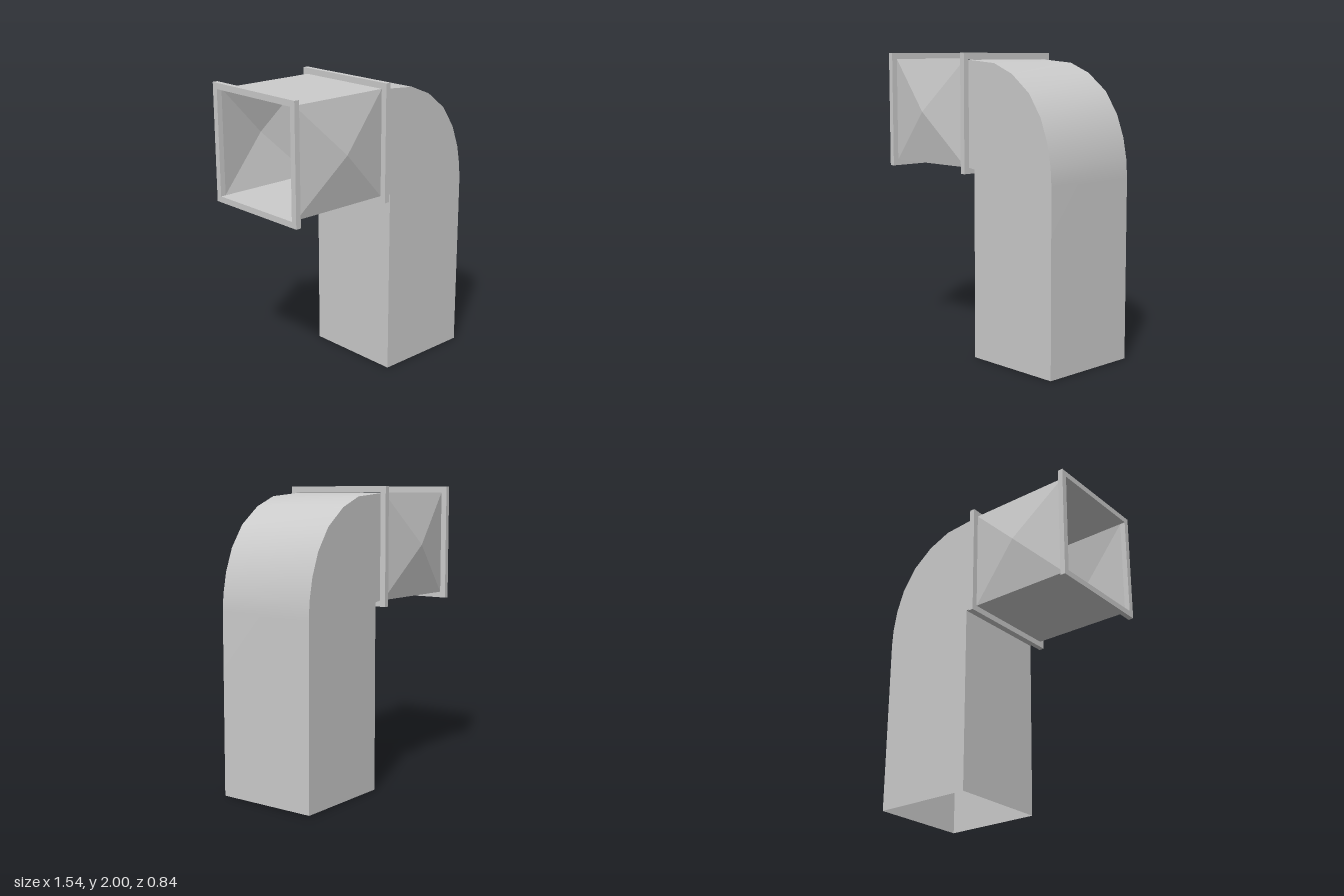
import * as THREE from 'three';

const HALF = 0.35; // half width of the duct
const MID_Y = 1.61; // height of the horizontal duct axis

const smooth = new THREE.MeshStandardMaterial({ color: 0xcccccc, side: THREE.DoubleSide });
const flat = new THREE.MeshStandardMaterial({ color: 0xcccccc, side: THREE.DoubleSide, flatShading: true });

function addMesh(parent, name, geometry, material) {
  const mesh = new THREE.Mesh(geometry, material);
  mesh.name = name;
  parent.add(mesh);
  return mesh;
}

// Sheet that sweeps an xy path across the duct width
function sheet(path) {
  const pos = [], index = [];
  path.forEach(([x, y], i) => {
    pos.push(x, y, HALF, x, y, -HALF);
    if (i < path.length - 1) {
      const a = i * 2;
      index.push(a, a + 2, a + 1, a + 1, a + 2, a + 3);
    }
  });
  const g = new THREE.BufferGeometry();
  g.setAttribute('position', new THREE.Float32BufferAttribute(pos, 3));
  g.setIndex(index);
  g.computeVertexNormals();
  return g;
}

// Shallow four-sided pyramid panel, apex pointing to +z
function pyramidPanel(width, height, depth) {
  const w = width / 2, h = height / 2;
  const g = new THREE.BufferGeometry();
  g.setAttribute('position', new THREE.Float32BufferAttribute(
    [-w, -h, 0, w, -h, 0, w, h, 0, -w, h, 0, 0, 0, depth], 3));
  g.setIndex([0, 1, 4, 1, 2, 4, 2, 3, 4, 3, 0, 4]);
  g.computeVertexNormals();
  return g;
}

function square(Type, half) {
  return new Type([[-half, -half], [half, -half], [half, half], [-half, half]]
    .map(([x, y]) => new THREE.Vector2(x, y)));
}

// Square frame around the duct, centred at x
function flange(parent, name, x) {
  const thickness = 0.036;
  const shape = square(THREE.Shape, 0.39);
  shape.holes.push(square(THREE.Path, HALF));
  const g = new THREE.ExtrudeGeometry(shape, { depth: thickness, bevelEnabled: false });
  g.translate(0, 0, -thickness / 2).rotateY(Math.PI / 2);
  addMesh(parent, name, g, flat).position.set(x, MID_Y, 0);
}

export function createModel() {
  const model = new THREE.Group();
  model.name = 'ductElbow';

  // Straight section, open at both ends
  const straight = new THREE.Group();
  straight.name = 'straightDuct';
  model.add(straight);
  const x0 = -0.735, x1 = -0.018, top = MID_Y + HALF, bottom = MID_Y - HALF;
  addMesh(straight, 'topPanel', sheet([[x0, top], [x1, top]]), flat);
  addMesh(straight, 'bottomPanel', sheet([[x1, bottom], [x0, bottom]]), flat);
  for (const side of [1, -1]) {
    const panel = addMesh(straight, side > 0 ? 'frontPanel' : 'backPanel',
      pyramidPanel(x1 - x0, HALF * 2, 0.068), flat);
    panel.position.set((x0 + x1) / 2, MID_Y, side * HALF);
    panel.rotation.y = side > 0 ? 0 : Math.PI;
  }

  // Joining frames
  flange(model, 'endFlange', -0.752);
  flange(model, 'middleFlange', 0);

  // Bend and downpipe, open at the bottom
  const elbow = new THREE.Group();
  elbow.name = 'elbow';
  model.add(elbow);
  const outer = [[0.018, 1.955], [0.26, 1.935], [0.42, 1.87], [0.57, 1.755], [0.67, 1.61],
    [0.727, 1.46], [0.755, 1.32], [0.763, 1.2], [0.767, 0]];
  const inner = [[0.07, 0], [0.07, 1.253], [0.018, 1.26]];
  addMesh(elbow, 'outerWall', sheet(outer), smooth);
  addMesh(elbow, 'innerWall', sheet(inner), flat);
  const outline = new THREE.Shape([...outer, ...inner].map(([x, y]) => new THREE.Vector2(x, y)));
  for (const side of [1, -1]) {
    const g = new THREE.ShapeGeometry(outline);
    // Turn the winding over for the back wall
    if (side < 0) g.index.array.reverse();
    g.deleteAttribute('normal');
    g.computeVertexNormals();
    addMesh(elbow, side > 0 ? 'frontWall' : 'backWall', g, flat).position.z = side * HALF;
  }

  return model;
}
